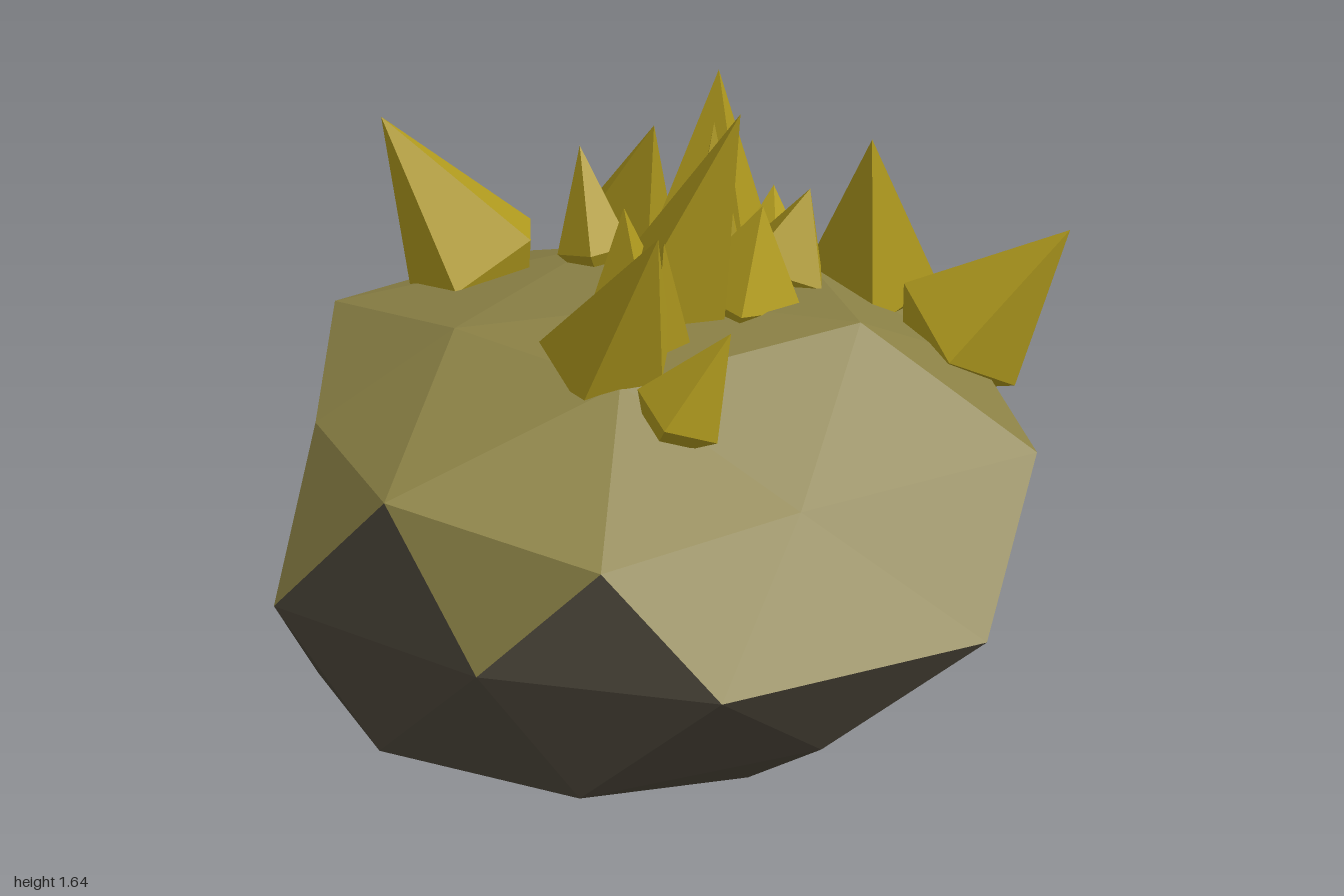
import * as THREE from 'three';

// Boulder rings from top to bottom, each running from +x through +z
const TOP = [0.02, 1.13, 0];
const CROWN = [[.5, 1.07, 0], [.18, 1.155, .42], [-.36, 1.1, .15], [-.41, 1.1, -.35], [.22, 1.06, -.5]];
const SHOULDER = [
  [1, .89, -.07], [.66, .89, .42], [.33, .9, .84], [-.22, .87, .58], [-.7, .85, .41],
  [-.9, .93, -.07], [-.7, .89, -.54], [-.31, .96, -.91], [.31, .89, -.92], [.66, .9, -.52],
];
const WAIST = [
  [.88, .2], [.52, .58], [0, .96], [-.6, .68], [-.89, .2],
  [-1, -.37], [-.55, -.72], [0, -.92], [.59, -.81], [.91, -.34],
].map(([x, z]) => [x, .58, z]);
const BELLY = [
  [.74, .3, -.06], [.69, .29, .385], [.24, .3, .56], [-.27, .3, .7], [-.72, .23, .35],
  [-.95, .28, -.08], [-.75, .2, -.54], [-.32, .26, -.97], [.2, .27, -.7], [.68, .3, -.555],
];
const FOOT = [[.46, 0, .24], [-.18, .03, .4], [-.53, .03, -.06], [-.15, .12, -.46], [.35, .07, -.3]];
const BOTTOM = [0, .03, 0];

// Each crystal: tip, centre of base, radius
const CRYSTALS = [
  [.05, 1.645, .15, .01, 1.15, -.02, .17],
  [.37, 1.58, -.2, .37, 1.08, -.24, .2],
  [-.36, 1.5, .27, -.29, 1.11, .05, .17],
  [.52, 1.45, .17, .61, 1.01, .1, .18],
  [.72, 1.28, .63, .58, .98, .42, .19],
  [-.12, 1.41, -.91, 0, 1.03, -.7, .2],
  [.23, 1.51, -.09, .17, 1.12, -.03, .11],
  [.36, 1.38, -.41, .4, 1.01, -.57, .16],
  [.17, 1.36, -.49, .16, 1.1, -.43, .1],
  [.17, 1.37, .12, .12, 1.14, .1, .15],
  [-.25, 1.27, .39, -.33, 1.06, .3, .11],
  [-.2, 1.4, .14, -.16, 1.13, .07, .09],
  [.42, 1.32, .06, .36, 1.12, .03, .14],
  [-.08, 1.38, -.1, -.05, 1.13, -.12, .1],
  [.47, 1.27, -.1, .4, 1.1, -.06, .11],
];

function facetMesh(name, faces, material) {
  const geometry = new THREE.BufferGeometry();
  geometry.setAttribute('position', new THREE.Float32BufferAttribute(faces.flat(2), 3));
  geometry.computeVertexNormals();
  const mesh = new THREE.Mesh(geometry, material);
  mesh.name = name;
  return mesh;
}

// Stitch the rings into triangles, sorted into moss and bare stone
function boulderFaces() {
  const moss = [], stone = [];
  const at = (ring, i) => ring[(i + ring.length) % ring.length];
  const A = i => at(CROWN, i), B = i => at(SHOULDER, i), E = i => at(WAIST, i);
  const C = i => at(BELLY, i), D = i => at(FOOT, i);
  for (let i = 0; i < 5; i++) {
    const k = 2 * i;
    moss.push([TOP, A(i + 1), A(i)], [A(i), B(k), B(k - 1)], [A(i), B(k + 1), B(k)], [A(i), A(i + 1), B(k + 1)]);
    stone.push([C(k), C(k + 1), D(i)], [C(k + 1), C(k + 2), D(i)], [C(k + 2), D(i + 1), D(i)], [D(i), D(i + 1), BOTTOM]);
  }
  // Places where the moss creeps down the sides
  const hanging = [2, 3, 4, 5, 8, 9], pointing = [3, 6, 9], low = [7];
  for (let j = 0; j < 10; j++) {
    (hanging.includes(j) ? moss : stone).push([B(j), B(j + 1), E(j)]);
    (pointing.includes(j) ? moss : stone).push([E(j - 1), B(j), E(j)]);
    (low.includes(j) ? moss : stone).push([E(j - 1), E(j), C(j)]);
    stone.push([E(j), C(j + 1), C(j)]);
  }
  return { moss, stone };
}

// A faceted spike with a short tapered root
function crystal([tx, ty, tz, bx, by, bz, r], index, material) {
  const base = new THREE.Vector3(bx, by, bz);
  const axis = new THREE.Vector3(tx, ty, tz).sub(base);
  const profile = [[0, -.4 * r], [.65 * r, -.4 * r], [r, 0], [0, axis.length()]]
    .map(([x, y]) => new THREE.Vector2(x, y));
  const geometry = new THREE.LatheGeometry(profile, index % 3 === 2 ? 5 : 4, index * 1.3);
  const mesh = new THREE.Mesh(geometry, material);
  mesh.name = 'crystal' + (index + 1);
  mesh.position.copy(base);
  mesh.quaternion.setFromUnitVectors(new THREE.Vector3(0, 1, 0), axis.normalize());
  return mesh;
}

export function createModel() {
  const paint = color => new THREE.MeshStandardMaterial({ color, flatShading: true });
  const model = new THREE.Group();
  model.name = 'crystalBoulder';

  // Boulder
  const { moss, stone } = boulderFaces();
  model.add(facetMesh('mossyTop', moss, paint(0x8c8246)));
  model.add(facetMesh('bareStone', stone, paint(0x4c463a)));

  // Crystal cluster
  const cluster = new THREE.Group();
  cluster.name = 'crystals';
  const gold = paint(0xb09a1e);
  CRYSTALS.forEach((spec, i) => cluster.add(crystal(spec, i, gold)));
  model.add(cluster);
  return model;
}
